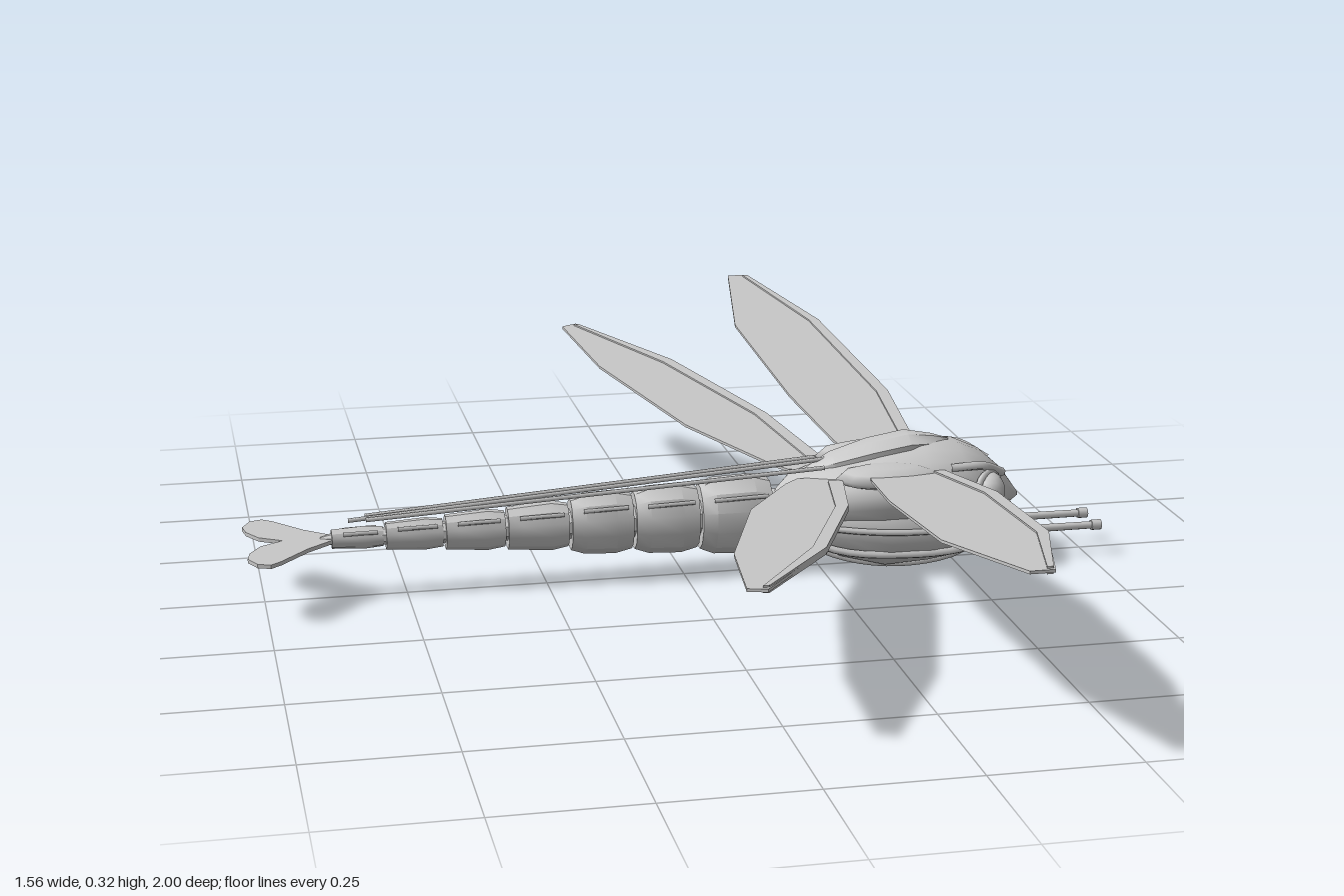
import * as THREE from 'three';
import { toCreasedNormals } from 'three/addons/utils/BufferGeometryUtils.js';

const grey = new THREE.MeshStandardMaterial({ color: 0xc8c8c8 });
grey.name = 'light grey';

// Skin over elliptical rings along x: [x, bottom, top, halfWidth], rear to front
function loft(rings, sides = 16, crease = 0.6) {
  const pos = [], index = [];
  rings.forEach(([x, lo, hi, w]) => {
    for (let j = 0; j < sides; j++) {
      const a = ((j + 0.5) / sides) * Math.PI * 2;
      pos.push(x, (lo + hi) / 2 + ((hi - lo) / 2) * Math.cos(a), w * Math.sin(a));
    }
  });
  for (let i = 0; i < rings.length - 1; i++) {
    for (let j = 0; j < sides; j++) {
      const k = (j + 1) % sides, a = i * sides, b = a + sides;
      index.push(a + j, a + k, b + k, a + j, b + k, b + j);
    }
  }
  const g = new THREE.BufferGeometry();
  g.setAttribute('position', new THREE.Float32BufferAttribute(pos, 3));
  g.setIndex(index);
  return toCreasedNormals(g, crease);
}

// Thin plate drawn in (x, z), rising outward with slope
function plate(points, side, y, slope, thick) {
  const shape = new THREE.Shape(points.map(([x, z]) => new THREE.Vector2(x, -side * z)));
  const g = new THREE.ExtrudeGeometry(shape, { depth: thick, bevelEnabled: false });
  g.rotateX(-Math.PI / 2);
  const p = g.attributes.position;
  for (let i = 0; i < p.count; i++) p.setY(i, p.getY(i) + y + slope * Math.abs(p.getZ(i)));
  g.computeVertexNormals();
  return g;
}

function rod(points, r, sides = 6) {
  const curve = new THREE.CatmullRomCurve3(points.map((p) => new THREE.Vector3(...p)));
  return new THREE.TubeGeometry(curve, points.length > 2 ? 16 : 1, r, sides);
}

export function createModel() {
  const model = new THREE.Group();
  const add = (name, geometry, x = 0, y = 0, z = 0) => {
    const m = new THREE.Mesh(geometry, grey);
    m.name = name;
    m.position.set(x, y, z);
    model.add(m);
    return m;
  };

  // Thorax and head: upper shell ending in a beak, and a keeled lower hull
  add('upperShell', loft([
    [0.15, 0.105, 0.135, 0.01], [0.2, 0.09, 0.18, 0.06], [0.27, 0.08, 0.203, 0.092],
    [0.35, 0.075, 0.222, 0.108], [0.43, 0.075, 0.235, 0.113], [0.5, 0.078, 0.23, 0.104],
    [0.55, 0.085, 0.208, 0.08], [0.59, 0.095, 0.172, 0.045], [0.625, 0.115, 0.122, 0.002],
  ], 20, 0.9));
  add('lowerHull', loft([
    [0.15, 0.095, 0.12, 0.025], [0.2, 0.067, 0.14, 0.06], [0.28, 0.025, 0.16, 0.09],
    [0.36, 0.004, 0.165, 0.105], [0.44, 0.009, 0.16, 0.105], [0.52, 0.02, 0.14, 0.085],
    [0.565, 0.043, 0.11, 0.06], [0.575, 0.075, 0.08, 0.002],
  ], 16, 0.7));

  // Dorsal crest plates
  add('dorsalCrest', loft([
    [0.22, 0.17, 0.19, 0.005], [0.27, 0.18, 0.217, 0.035], [0.34, 0.19, 0.238, 0.045],
    [0.41, 0.2, 0.25, 0.045], [0.46, 0.2, 0.242, 0.025], [0.49, 0.215, 0.233, 0.003],
  ], 8));

  // Segmented tail tapering to the rear: [rear x, front x, half height, half width]
  const segments = [
    [-0.63, -0.54, 0.02, 0.018], [-0.535, -0.435, 0.029, 0.023], [-0.43, -0.325, 0.037, 0.03],
    [-0.32, -0.212, 0.045, 0.036], [-0.207, -0.097, 0.058, 0.043], [-0.092, 0.022, 0.064, 0.05],
    [0.027, 0.155, 0.073, 0.057],
  ];
  segments.forEach(([a, b, h, w], i) => {
    const ring = (x, f) => [x, 0.113 - h * f, 0.113 + h * f, w * f];
    add('tailSegment' + (i + 1), loft([
      ring(a, 0.01), ring(a, i < 4 ? 0.85 : 0.82), ring(a + 0.025, i < 4 ? 0.9 : 0.96),
      ring(b - 0.03, 1), ring(b, 0.88), ring(b, 0.01),
    ], 12, 0.5));
    // Small side ridges on each segment
    for (const s of [1, -1]) {
      add('tailRidge', rod([[a + 0.02, 0.113 + h * 0.55, s * w * 0.76], [b - 0.01, 0.113 + h * 0.62, s * w * 0.86]], 0.004, 4));
    }
  });
  add('tailCore', loft([[-0.65, 0.108, 0.118, 0.006], [-0.62, 0.1, 0.126, 0.013], [0.2, 0.075, 0.155, 0.045]], 8));

  // Long rods above the tail
  add('tailRod', rod([[0.27, 0.207, 0], [-0.6, 0.145, 0]], 0.004));

  for (const s of [1, -1]) {
    add('tailRod', rod([[0.25, 0.2, s * 0.035], [-0.57, 0.148, s * 0.012]], 0.004));

    // Tail fan
    add('tailFan', plate([
      [-0.62, 0], [-0.63, 0.016], [-0.675, 0.055], [-0.725, 0.115], [-0.743, 0.13], [-0.765, 0.122],
      [-0.78, 0.09], [-0.775, 0.06], [-0.755, 0.025], [-0.715, 0],
    ], s, 0.109, 0, 0.007));

    // Fore and hind wings with leading-edge strips
    add('foreWing', plate([
      [0.33, 0.05], [0.31, 0.13], [0.28, 0.35], [0.257, 0.72], [0.305, 1], [0.345, 1],
      [0.43, 0.72], [0.47, 0.34], [0.455, 0.05],
    ], s, 0.179, 0.138, 0.005));
    add('foreWingSpar', plate([
      [0.435, 0.08], [0.45, 0.34], [0.412, 0.72], [0.335, 0.99], [0.345, 0.99],
      [0.432, 0.72], [0.473, 0.34], [0.457, 0.08],
    ], s, 0.175, 0.138, 0.012));
    add('hindWing', plate([
      [0.2, 0.03], [0.17, 0.07], [0.06, 0.27], [-0.045, 0.6], [-0.08, 0.84], [-0.05, 0.853],
      [0.1, 0.61], [0.22, 0.3], [0.27, 0.08], [0.28, 0.03],
    ], s, 0.173, 0.107, 0.005));
    add('hindWingSpar', plate([
      [0.245, 0.08], [0.2, 0.3], [0.083, 0.6], [-0.055, 0.84], [-0.045, 0.84],
      [0.103, 0.61], [0.223, 0.3], [0.272, 0.08],
    ], s, 0.169, 0.107, 0.012));
    const root = add('wingRoot', new THREE.SphereGeometry(1, 10, 6), 0.36, 0.19, s * 0.075);
    root.scale.set(0.1, 0.022, 0.05);

    // Bulging eyes with a rim and brow
    const eye = add('eye', new THREE.SphereGeometry(1, 14, 10), 0.545, 0.153, s * 0.075);
    eye.scale.set(0.03, 0.034, 0.036);
    const rim = add('eyeRim', new THREE.TorusGeometry(0.034, 0.006, 6, 16), 0.543, 0.153, s * 0.078);
    rim.rotation.y = s * 0.7;
    add('brow', rod([[0.47, 0.2, s * 0.085], [0.53, 0.2, s * 0.08], [0.58, 0.175, s * 0.045]], 0.008));

    // Forward barrels under the chin
    const barrel = add('barrel', new THREE.CylinderGeometry(0.007, 0.008, 0.27, 8), 0.635, 0.06, s * 0.037);
    barrel.rotation.z = -Math.PI / 2;
    const muzzle = add('muzzle', new THREE.CylinderGeometry(0.01, 0.01, 0.018, 8), 0.767, 0.06, s * 0.037);
    muzzle.rotation.z = -Math.PI / 2;
    const sleeve = add('barrelSleeve', new THREE.CylinderGeometry(0.008, 0.014, 0.12, 8), 0.59, 0.058, s * 0.037);
    sleeve.rotation.z = -Math.PI / 2;

    // Raised seams along the flank and belly
    add('flankSeam', rod([[0.16, 0.112, s * 0.03], [0.26, 0.1, s * 0.088], [0.4, 0.092, s * 0.109], [0.52, 0.095, s * 0.092], [0.6, 0.112, s * 0.03]], 0.006));
    add('bellySeam', rod([[0.17, 0.09, s * 0.035], [0.27, 0.055, s * 0.078], [0.39, 0.045, s * 0.092], [0.5, 0.046, s * 0.08], [0.565, 0.058, s * 0.05]], 0.007));
    add('keelSeam', rod([[0.18, 0.08, s * 0.02], [0.27, 0.036, s * 0.04], [0.37, 0.015, s * 0.045], [0.48, 0.02, s * 0.04], [0.56, 0.045, s * 0.02]], 0.006));
  }
  return model;
}
